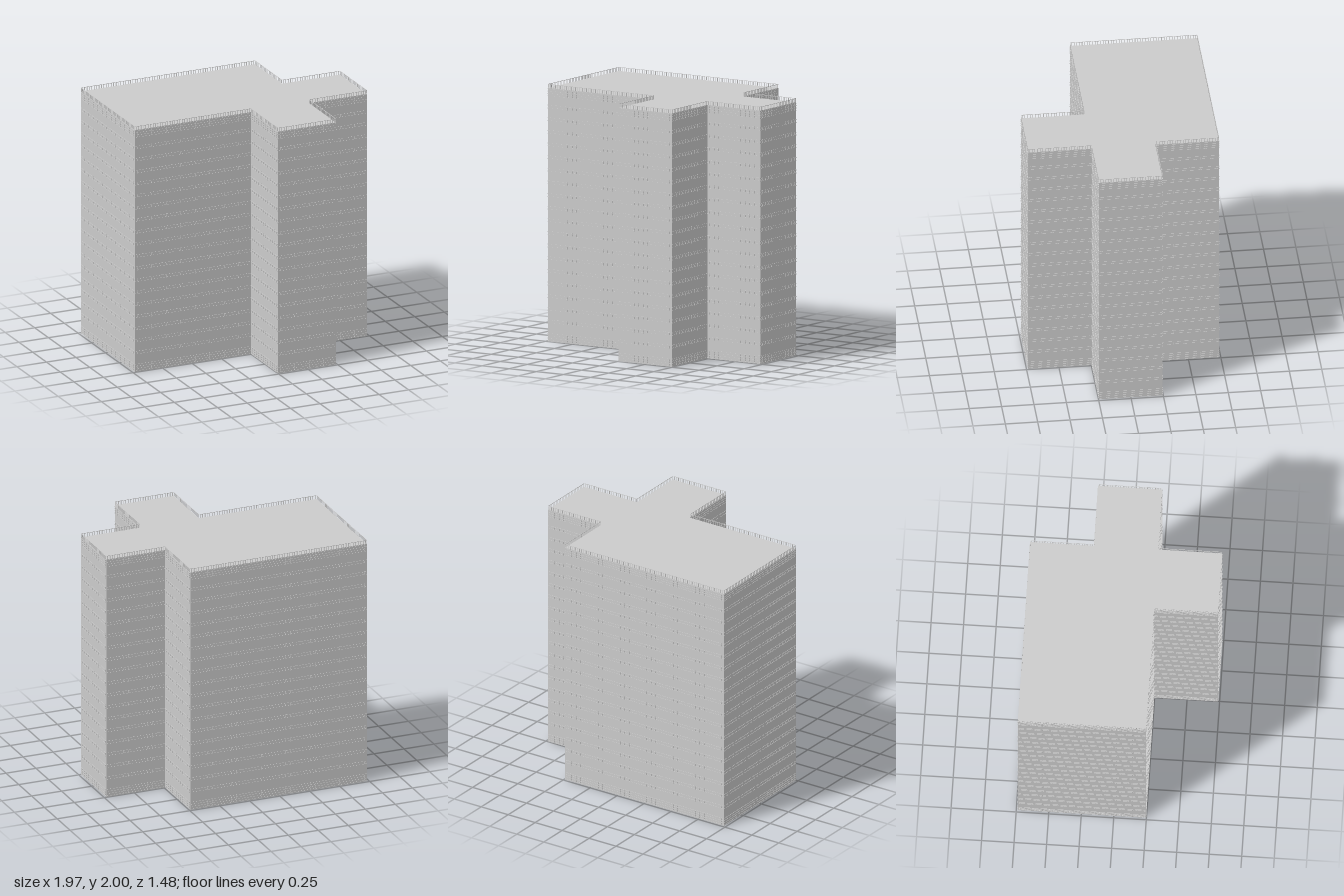
import * as THREE from 'three';
import { mergeGeometries } from 'three/addons/utils/BufferGeometryUtils.js';

const M = 0.491;            // bay width
const ROOF = 1.97;
// Footprint corners in bays (x, z), walked so that the outside is on the right of travel
const PLAN = [
  [-2, -1.5], [-2, 0.5], [0, 0.5], [0, 1.5], [1, 1.5],
  [1, 0.5], [2, 0.5], [2, -0.5], [1, -0.5], [1, -1.5],
].map(([x, z]) => [x * M, z * M]);

// Visit each straight side of the plan
function sides(fn) {
  PLAN.forEach(([x, z], i) => {
    const [x2, z2] = PLAN[(i + 1) % PLAN.length];
    const length = Math.hypot(x2 - x, z2 - z);
    fn(length, (x + x2) / 2, (z + z2) / 2, -Math.atan2(z2 - z, x2 - x));
  });
}

// Horizontal rails at the given heights plus evenly spaced posts, all round the plan
function railing({ rails, railHeight, postHeight, postsPerBay, depth }) {
  const parts = [];
  sides((length, cx, cz, angle) => {
    const place = (g, along, y) =>
      parts.push(g.translate(along, y, 0).rotateY(angle).translate(cx, 0, cz));
    for (const y of rails) place(new THREE.BoxGeometry(length - 0.008, railHeight, depth), 0, y);
    const count = Math.round(length / M) * postsPerBay;
    for (let i = 0; i < count; i++) {
      const along = ((i + 0.5) / count - 0.5) * length;
      if (postHeight) place(new THREE.BoxGeometry(0.004, postHeight, depth), along, 0);
    }
  });
  return mergeGeometries(parts);
}

export function createModel() {
  const group = new THREE.Group();
  const wallMat = new THREE.MeshStandardMaterial({ color: 0xcccccc, side: THREE.DoubleSide });
  const trimMat = new THREE.MeshStandardMaterial({ color: 0xcccccc });
  const add = (name, geometry, material, y = 0) => {
    const mesh = new THREE.Mesh(geometry, material);
    mesh.name = name;
    mesh.position.y = y;
    group.add(mesh);
  };

  // Thin outer walls, open at the bottom
  const walls = [];
  sides((length, cx, cz, angle) => walls.push(
    new THREE.PlaneGeometry(length, ROOF).translate(0, ROOF / 2, 0).rotateY(angle).translate(cx, 0, cz)));
  add('walls', mergeGeometries(walls), wallMat);

  // Flat roof
  const outline = new THREE.Shape(PLAN.map(([x, z]) => new THREE.Vector2(x, -z)));
  add('roof', new THREE.ShapeGeometry(outline).rotateX(-Math.PI / 2), wallMat, ROOF);

  // One railed band per floor, showing on both faces of the wall
  const floorBand = railing({
    rails: [-0.011, 0.011], railHeight: 0.006, postHeight: 0.03, postsPerBay: 12, depth: 0.006,
  });
  for (let i = 0; i < 18; i++) add('floorBand', floorBand, trimMat, 0.155 + i * 0.0982);

  // Closely spaced courses at the foot and the head of the walls
  const courses = railing({
    rails: [-0.027, -0.009, 0.009, 0.027], railHeight: 0.006, postHeight: 0.06, postsPerBay: 12, depth: 0.006,
  });
  add('baseCourses', courses, trimMat, 0.034);
  add('topCourses', courses, trimMat, 1.935);

  // Open railing round the roof edge
  add('roofRailing', railing({
    rails: [0.0135], railHeight: 0.003, postHeight: 0.03, postsPerBay: 24, depth: 0.003,
  }), trimMat, 1.985);

  return group;
}
